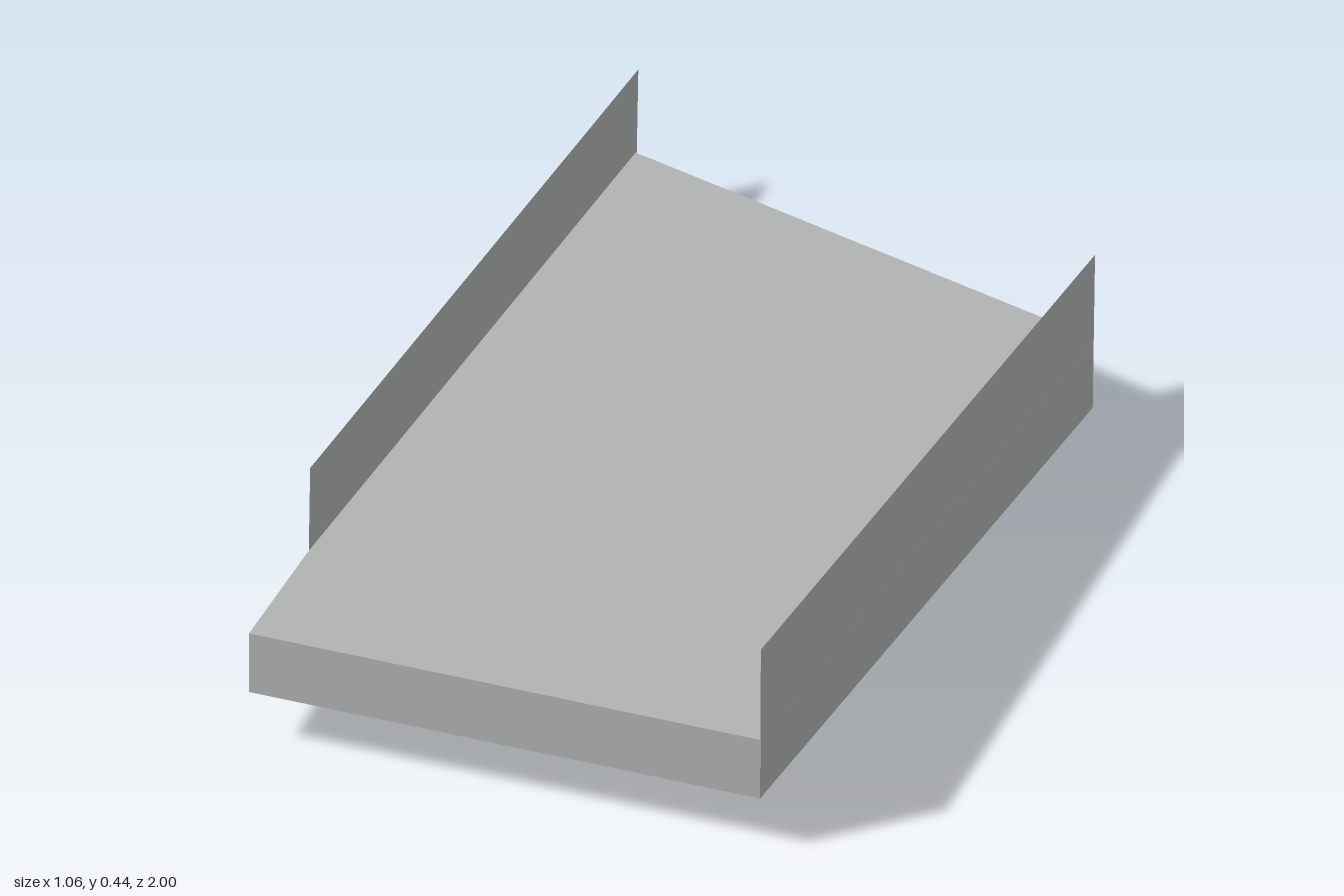
import * as THREE from 'three';

export function createModel() {
  const model = new THREE.Group();
  model.name = 'slopedTray';

  const grey = new THREE.MeshStandardMaterial({ color: 0xb3b5b4, side: THREE.DoubleSide });
  grey.name = 'plain grey';

  // Flat panel made as a fan from its first corner, corners counter-clockwise seen from outside
  function panel(name, parent, ...corners) {
    const points = [];
    for (let i = 1; i < corners.length - 1; i++) points.push(...corners[0], ...corners[i], ...corners[i + 1]);
    const geometry = new THREE.BufferGeometry();
    geometry.setAttribute('position', new THREE.Float32BufferAttribute(points, 3));
    geometry.computeVertexNormals();
    const mesh = new THREE.Mesh(geometry, grey);
    mesh.name = name;
    parent.add(mesh);
  }

  // Deck corners: b = underside, t = upper surface
  const corner = (x, z, bottom, top) => ({ b: [x, bottom, z], t: [x, top, z] });
  const frontLeft = corner(0.507, 1, 0.116, 0.246);
  const backLeft = corner(0.527, -0.668, 0, 0.155);
  const frontRight = corner(-0.52, 1, 0.116, 0.246);
  const railStart = corner(-0.53, 0.67, 0.097, 0.229);
  const backRight = corner(-0.515, -0.986, 0, 0.138);

  // Sloping slab with a slanted rear edge
  const deck = new THREE.Group();
  deck.name = 'deck';
  model.add(deck);
  panel('deckTop', deck, railStart.t, frontRight.t, frontLeft.t, backLeft.t, backRight.t);
  panel('deckUnderside', deck, backLeft.b, frontLeft.b, frontRight.b, railStart.b, backRight.b);
  panel('frontEdge', deck, frontRight.b, frontLeft.b, frontLeft.t, frontRight.t);
  panel('backEdge', deck, backLeft.b, backRight.b, backRight.t, backLeft.t);
  panel('rightEdge', deck, railStart.b, frontRight.b, frontRight.t, railStart.t);

  // Thin side walls, reaching from the underside to above the deck
  panel('leftWall', model, frontLeft.b, backLeft.b, [0.527, 0.332, -0.68], [0.507, 0.444, 0.996]);
  panel('rightWall', model, backRight.b, railStart.b, [-0.53, 0.408, 0.658], [-0.515, 0.314, -1]);

  return model;
}
